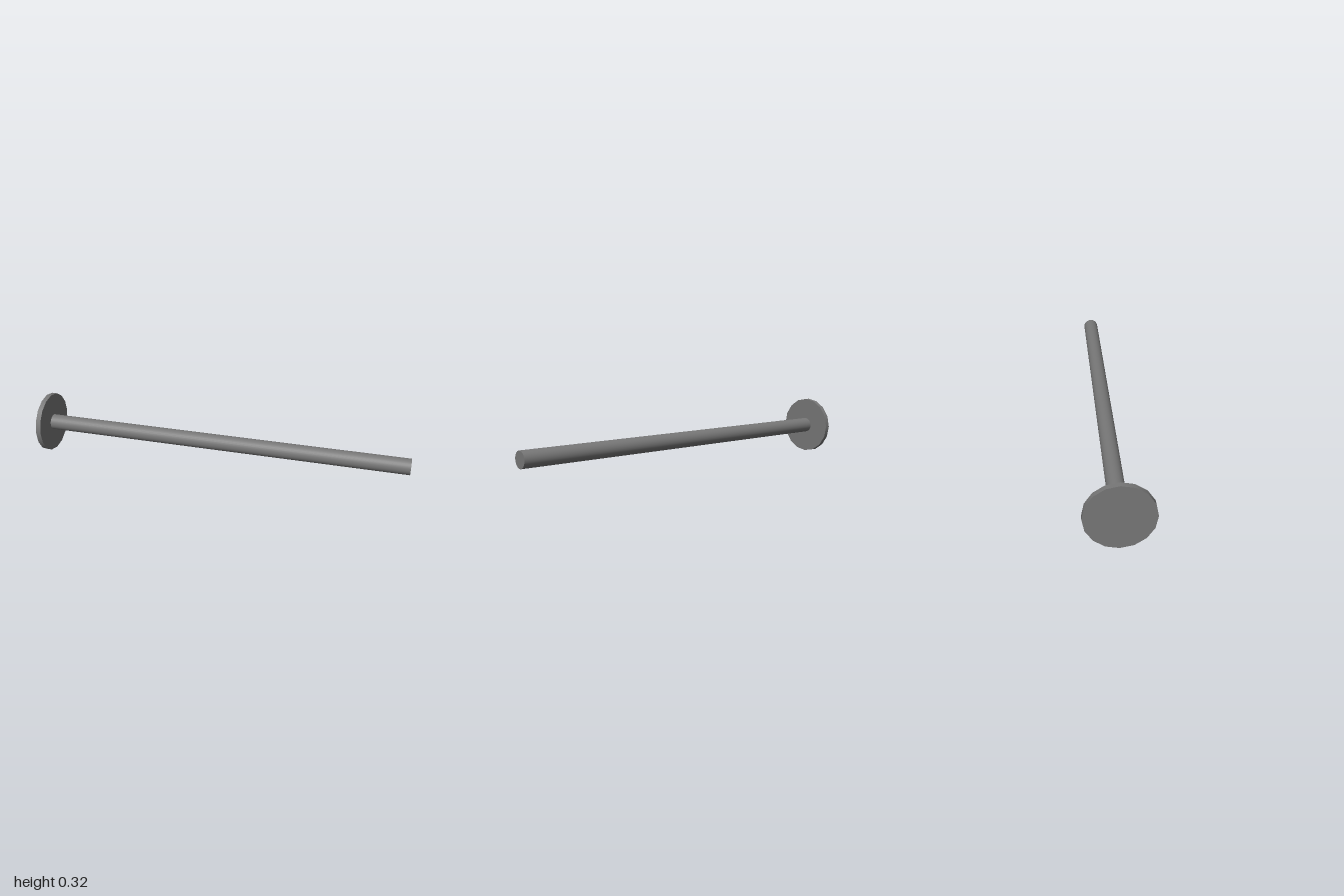
import * as THREE from 'three';

const DISC_RADIUS = 0.161;
const DISC_END = -0.973;

export function createModel() {
  const group = new THREE.Group();
  const material = new THREE.MeshStandardMaterial({ color: 0x777777 });

  // Cylinder lying along x between two positions
  const addCylinder = (name, radius, x0, x1, sides) => {
    const geometry = new THREE.CylinderGeometry(radius, radius, x1 - x0, sides);
    geometry.rotateZ(-Math.PI / 2);
    const mesh = new THREE.Mesh(geometry, material);
    mesh.name = name;
    mesh.position.set((x0 + x1) / 2, DISC_RADIUS, 0);
    group.add(mesh);
  };

  // Sixteen-sided end plate
  addCylinder('endDisc', DISC_RADIUS, -1, DISC_END, 16);
  // Long round rod standing out from the plate
  addCylinder('rod', 0.042, DISC_END, 1, 32);

  return group;
}
